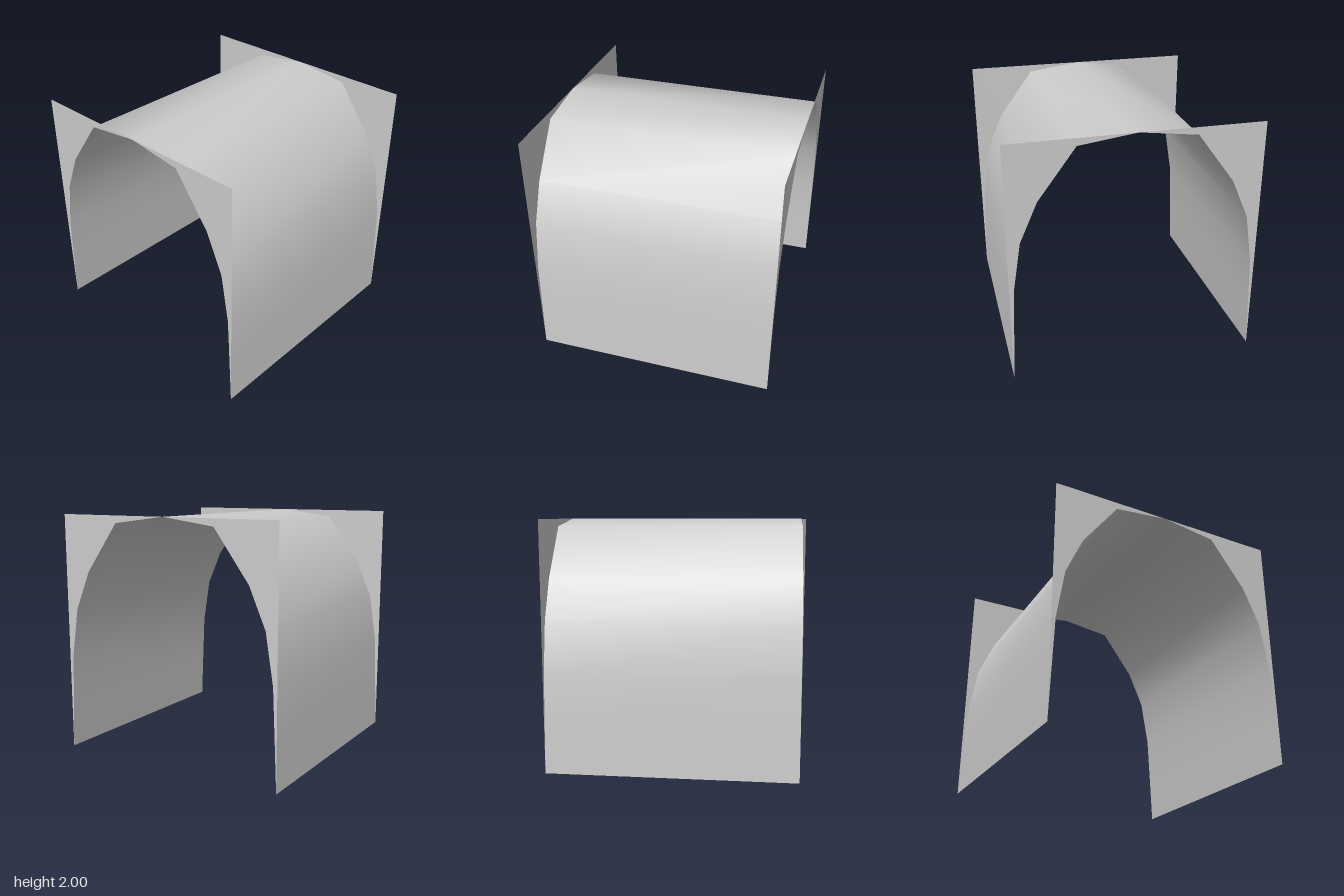
import * as THREE from 'three';

// Half of the arch profile as [z, y], from crown to foot
const HALF = [[0, 2], [0.46, 1.94], [0.76, 1.535], [0.9, 1.215], [0.965, 0.81], [0.983, 0.4], [1, 0]];

export function createModel() {
  const group = new THREE.Group();
  const material = new THREE.MeshStandardMaterial({ color: 0xcccccc, side: THREE.DoubleSide });

  // Vault: a sheet whose rows follow the arch from back foot to front foot
  const profile = [...HALF.slice(1).reverse().map(([z, y]) => [-z, y]), ...HALF];
  const sheet = new THREE.PlaneGeometry(2, 2, 1, profile.length - 1);
  const pos = sheet.attributes.position;
  for (let i = 0; i < pos.count; i++) {
    const [z, y] = profile[Math.floor(i / 2)];
    pos.setXYZ(i, pos.getX(i), y, z);
  }
  sheet.computeVertexNormals();
  const vault = new THREE.Mesh(sheet, material);
  vault.name = 'vault';
  group.add(vault);

  // Spandrels: flat panels filling the corners above the arch at both ends
  for (const front of [1, -1]) {
    const points = [...HALF, [1, 2]].map(([z, y]) => new THREE.Vector2(z * front, y));
    const panel = new THREE.ShapeGeometry(new THREE.Shape(points));
    panel.rotateY(-Math.PI / 2);
    for (const side of [1, -1]) {
      const spandrel = new THREE.Mesh(panel, material);
      spandrel.name = `${front > 0 ? 'front' : 'back'}${side > 0 ? 'Left' : 'Right'}Spandrel`;
      spandrel.position.x = side;
      group.add(spandrel);
    }
  }
  return group;
}
